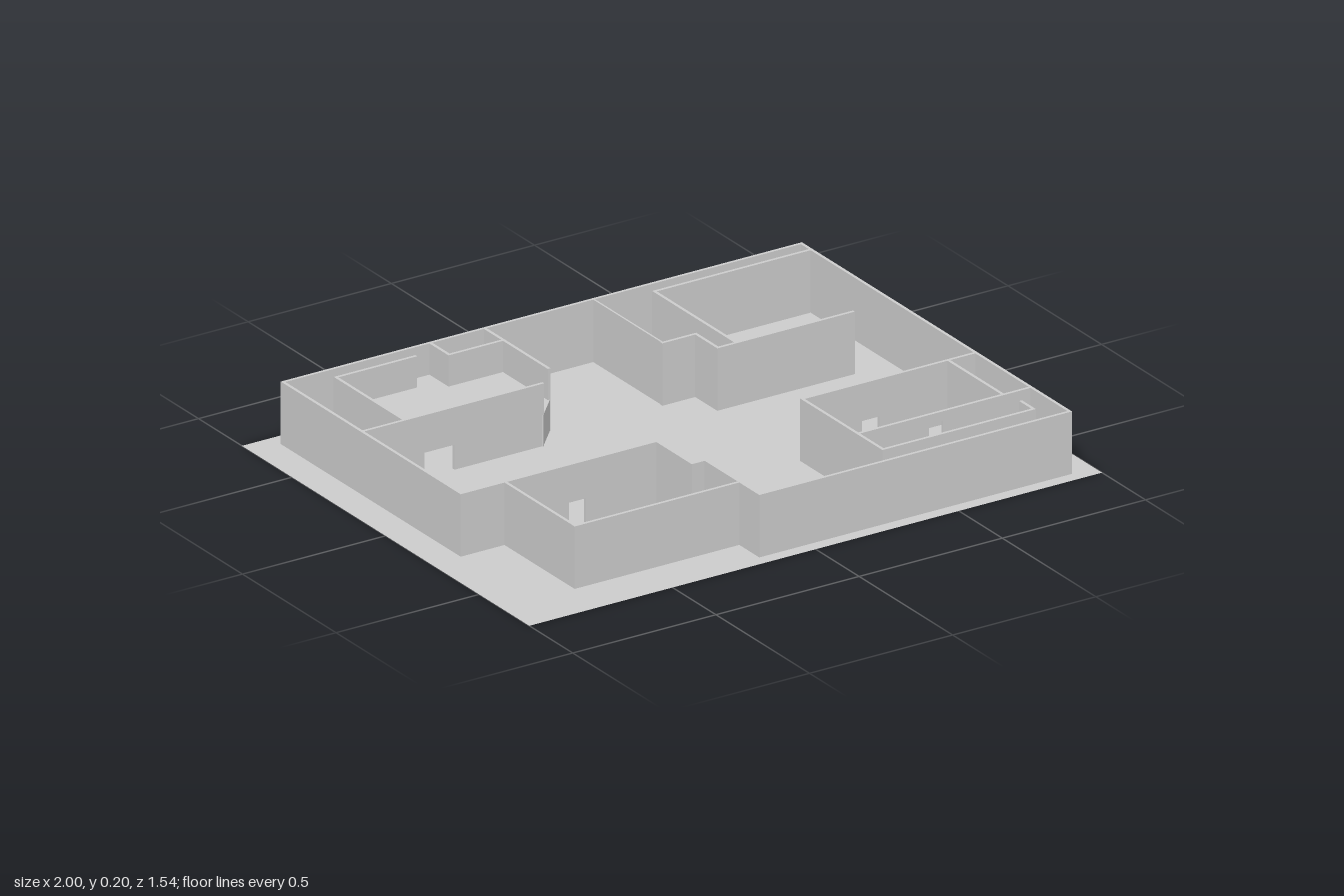
import * as THREE from 'three';

const H = 0.2, LEVEL = 0.1, T = 0.01;
const material = new THREE.MeshStandardMaterial({ color: 0xcccccc, flatShading: true, side: THREE.DoubleSide });

export function createModel() {
  const model = new THREE.Group();

  const box = (parent, name, x0, x1, y0, y1, z0, z1) => {
    const mesh = new THREE.Mesh(new THREE.BoxGeometry(x1 - x0, y1 - y0, z1 - z0), material);
    mesh.position.set((x0 + x1) / 2, (y0 + y1) / 2, (z0 + z1) / 2);
    mesh.name = name;
    parent.add(mesh);
  };

  // Straight wall from a to b; an opening is [start, end, bottom, top] along its length
  const wall = (name, [ax, az], [bx, bz], { opening, height = H, thick = T } = {}) => {
    const g = new THREE.Group();
    g.name = name;
    const len = Math.hypot(bx - ax, bz - az), e = T / 2, h = thick / 2;
    g.position.set(ax, 0, az);
    g.rotation.y = -Math.atan2(bz - az, bx - ax);
    if (opening) {
      const [s, t, lo, hi] = opening;
      box(g, 'pier', -e, s, 0, height, -h, h);
      box(g, 'pier', t, len + e, 0, height, -h, h);
      if (lo > 0) box(g, 'sill', s, t, 0, lo, -h, h);
      if (hi < height) box(g, 'lintel', s, t, hi, height, -h, h);
    } else box(g, 'panel', -e, len + e, 0, height, -h, h);
    model.add(g);
  };

  const wallRun = (name, points) => {
    for (let i = 1; i < points.length; i++) wall(name, points[i - 1], points[i]);
  };

  // Thin raised floor from a plan outline
  const platform = (name, outline) => {
    const shape = new THREE.Shape(outline.map(([x, z]) => new THREE.Vector2(x, -z)));
    const geo = new THREE.ExtrudeGeometry(shape, { depth: 0.006, bevelEnabled: false });
    const mesh = new THREE.Mesh(geo.rotateX(-Math.PI / 2), material);
    mesh.position.y = LEVEL - 0.006;
    mesh.name = name;
    model.add(mesh);
  };

  // Steps climbing from one end of a run to the other, along x or z
  const stairs = (name, axis, from, to, side0, side1, count = 6) => {
    const g = new THREE.Group();
    g.name = name;
    for (let i = 0; i < count; i++) {
      const p = from + (to - from) * i / count, q = from + (to - from) * (i + 1) / count;
      const a = Math.min(p, q), b = Math.max(p, q), y1 = LEVEL * (i + 1) / (count + 1);
      if (axis === 'x') box(g, 'step', a, b, 0, y1, side0, side1);
      else box(g, 'step', side0, side1, 0, y1, a, b);
    }
    model.add(g);
  };

  // Ground sheet
  const ground = new THREE.Mesh(new THREE.PlaneGeometry(2, 1.536).rotateX(-Math.PI / 2), material);
  ground.name = 'ground';
  model.add(ground);

  // Outer walls
  wallRun('outerWall', [[-0.21, 0.24], [-0.21, 0.43], [-0.165, 0.43], [-0.165, 0.722], [0.917, 0.722],
    [0.917, -0.712], [-0.893, -0.712], [-0.893, 0.24], [-0.74, 0.24]]);

  // Front right-hand room with twin stairs and a gallery
  wall('frontRoomDoorWall', [-0.74, 0.24], [-0.21, 0.24], { opening: [0.22, 0.28, 0, 0.08] });
  wallRun('frontRoomWall', [[-0.74, 0.24], [-0.74, 0.615], [-0.165, 0.615]]);
  platform('frontGallery', [[-0.74, 0.553], [-0.165, 0.553], [-0.165, 0.615], [-0.74, 0.615]]);
  stairs('galleryStairs', 'z', 0.43, 0.553, -0.735, -0.68);
  stairs('galleryStairs', 'z', 0.43, 0.553, -0.275, -0.215);

  // Front left-hand room with balcony and upper passage
  wall('hallDoorWall', [0.312, 0.22], [0.917, 0.22], { opening: [0.205, 0.265, 0, 0.08] });
  wall('hallSideWall', [0.82, 0.22], [0.82, 0.515]);
  wall('balconyDoorWall', [0.312, 0.515], [0.917, 0.515], { opening: [0.245, 0.295, LEVEL, 0.17] });
  wallRun('passageWall', [[0.312, 0.22], [0.312, 0.65], [0.838, 0.65], [0.838, 0.585]]);
  platform('balcony', [[0.312, 0.437], [0.82, 0.437], [0.82, 0.515], [0.312, 0.515]]);
  platform('passageFloor', [[0.312, 0.515], [0.917, 0.515], [0.917, 0.722], [0.838, 0.722], [0.838, 0.65], [0.312, 0.65]]);
  stairs('passageStairs', 'x', 0.71, 0.838, 0.655, 0.717);
  const post = new THREE.Mesh(new THREE.CylinderGeometry(0.01, 0.01, 0.05, 16), material);
  post.position.set(0.55, 0.025, 0.254);
  post.name = 'post';
  model.add(post);

  // Back right-hand room: raised floor with a cut corner
  wall('raisedRoomDoorWall', [-0.893, -0.29], [-0.265, -0.29], { opening: [0.215, 0.32, 0, 0.08] });
  wallRun('raisedRoomWall', [[-0.745, -0.29], [-0.745, -0.655], [-0.47, -0.655]]);
  wall('cutCornerWall', [-0.265, -0.29], [-0.19, -0.37], { opening: [0.01, 0.1, 0, LEVEL], height: LEVEL });
  wall('cutCornerParapet', [-0.265, -0.29], [-0.19, -0.37], { height: LEVEL });
  wall('raisedRoomSideWall', [-0.19, -0.37], [-0.19, -0.712]);
  wallRun('closetWall', [[-0.38, -0.712], [-0.38, -0.61], [-0.19, -0.61]]);
  platform('raisedFloor', [[-0.745, -0.29], [-0.265, -0.29], [-0.19, -0.37], [-0.19, -0.712],
    [-0.61, -0.712], [-0.61, -0.655], [-0.745, -0.655]]);
  stairs('raisedRoomStairs', 'x', -0.75, -0.61, -0.707, -0.66);

  // Back left-hand room
  wall('thinWall', [0.19, -0.712], [0.19, -0.34], { thick: 0.006 });
  wallRun('stepWall', [[0.19, -0.34], [0.305, -0.34], [0.305, -0.222], [0.775, -0.222]]);
  wall('backRoomDoorWall', [0.37, -0.66], [0.37, -0.222], { opening: [0.34, 0.42, 0, 0.08] });
  wall('backRoomWall', [0.37, -0.66], [0.917, -0.66]);

  return model;
}
